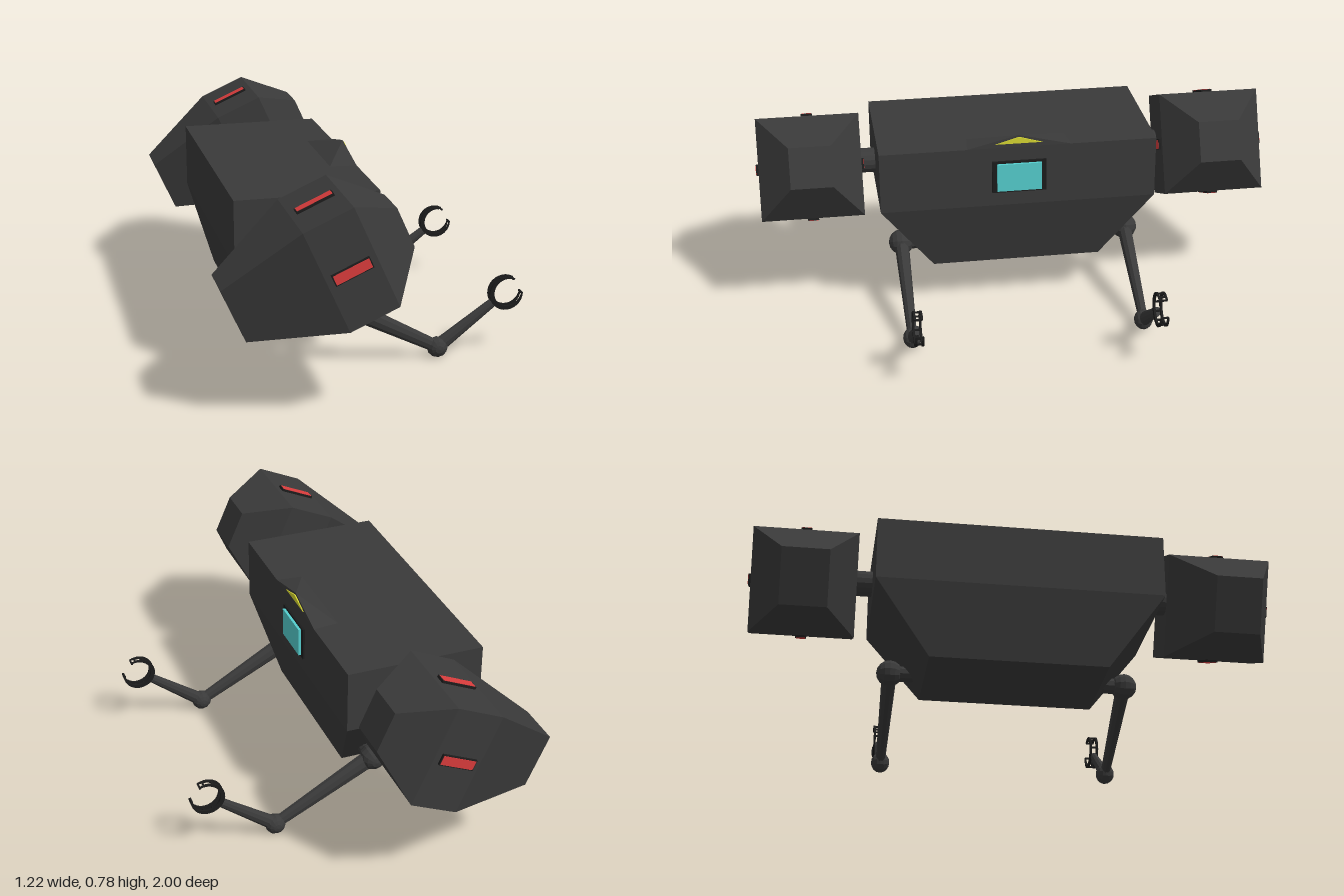
import * as THREE from 'three';

const mat = (color, side = THREE.FrontSide) =>
  new THREE.MeshStandardMaterial({ color, flatShading: true, side });
const hull = mat(0x3a3a3a), dark = mat(0x1c1c1c), red = mat(0xd83c3c);
const cyan = mat(0x55cfcf), yellow = mat(0xd8d832);

function add(parent, name, geometry, material, x = 0, y = 0, z = 0) {
  const mesh = new THREE.Mesh(geometry, material);
  mesh.name = name;
  mesh.position.set(x, y, z);
  parent.add(mesh);
  return mesh;
}

function faces(list) {
  const g = new THREE.BufferGeometry();
  g.setAttribute('position', new THREE.Float32BufferAttribute(list.flat(2), 3));
  g.computeVertexNormals();
  return g;
}

// Rectangular sections stacked along y: [y, centreX, halfX, halfZ]
function loft(sections) {
  const rings = sections.map(([y, cx, hx, hz]) =>
    [[-1, -1], [-1, 1], [1, 1], [1, -1]].map(([a, b]) => [cx + a * hx, y, b * hz]));
  const tris = [];
  const quad = (a, b, c, d) => tris.push([a, b, c], [a, c, d]);
  for (let s = 0; s < rings.length - 1; s++)
    for (let i = 0; i < 4; i++) {
      const j = (i + 1) % 4;
      quad(rings[s][i], rings[s][j], rings[s + 1][j], rings[s + 1][i]);
    }
  quad(...[...rings[0]].reverse());
  quad(...rings[rings.length - 1]);
  return faces(tris);
}

// Tapered limb between two points in the arm's plane
function limb(parent, name, a, b, ra, rb) {
  const dx = b[0] - a[0], dy = b[1] - a[1], len = Math.hypot(dx, dy);
  const g = new THREE.CylinderGeometry(rb, ra, len, 10);
  g.scale(1, 1, 0.75);
  const m = add(parent, name, g, hull, (a[0] + b[0]) / 2, (a[1] + b[1]) / 2);
  m.rotation.z = Math.atan2(dy, dx) - Math.PI / 2;
}

// Crescent plate, thick at the wrist and thin at the tips
function crescent(depth) {
  const n = 24, from = Math.PI / 3, to = Math.PI * 2, outer = [], inner = [];
  for (let i = 0; i <= n; i++) {
    const t = i / n, a = from + (to - from) * t;
    const r = 0.065 - 0.003 - 0.015 * Math.sin(Math.PI * t);
    outer.push(new THREE.Vector2(0.065 * Math.cos(a), 0.065 * Math.sin(a)));
    inner.unshift(new THREE.Vector2(r * Math.cos(a), r * Math.sin(a)));
  }
  const g = new THREE.ExtrudeGeometry(new THREE.Shape([...outer, ...inner]), { depth, bevelEnabled: false });
  return g.translate(0, 0, -depth / 2);
}

function nacelle(side) {
  const g = new THREE.Group();
  g.name = 'enginePod';
  g.position.set(-0.189, 0.571, side * 0.79);
  g.rotation.z = THREE.MathUtils.degToRad(24);
  const shell = loft([
    [-0.416, 0, 0.103, 0.086], [-0.094, 0, 0.197, 0.197],
    [0.094, 0, 0.197, 0.197], [0.237, 0, 0.078, 0.08]]).rotateZ(-Math.PI / 2);
  add(g, 'podShell', shell, hull);
  // Light slot on each of the four long sides
  for (let k = 0; k < 4; k++) {
    const slot = new THREE.Group();
    slot.name = 'lightSlot';
    slot.rotation.x = k * Math.PI / 2;
    add(slot, 'slotFrame', new THREE.BoxGeometry(0.142, 0.042, 0.014), dark, 0, 0, 0.199);
    add(slot, 'slotLight', new THREE.BoxGeometry(0.134, 0.035, 0.014), red, 0, 0, 0.2005);
    g.add(slot);
  }
  return g;
}

function arm(side) {
  const g = new THREE.Group();
  g.name = 'arm';
  g.position.z = side * 0.45;
  const shoulder = [-0.11, 0.255], elbow = [0.28, 0.045], wrist = [0.492, 0.202];
  const axle = new THREE.CylinderGeometry(0.03, 0.03, 0.1, 10).rotateX(Math.PI / 2);
  add(g, 'shoulderAxle', axle, hull, ...shoulder, -side * 0.05);
  const ball = (r) => new THREE.SphereGeometry(r, 12, 8).rotateX(Math.PI / 2);
  add(g, 'shoulderJoint', ball(0.05), hull, ...shoulder);
  limb(g, 'upperArm', shoulder, elbow, 0.038, 0.024);
  add(g, 'elbowJoint', ball(0.04).scale(1, 1, 0.9), hull, ...elbow);
  limb(g, 'forearm', elbow, wrist, 0.028, 0.018);
  // Claw: two crescent plates joined by small bars
  const claw = new THREE.Group();
  claw.name = 'claw';
  claw.position.set(0.543, 0.24, 0);
  for (const z of [-0.013, 0.013]) add(claw, 'clawPlate', crescent(0.008), dark, 0, 0, z);
  for (const deg of [62, 78, 110, 180, 215, 250, 282, 358]) {
    const a = THREE.MathUtils.degToRad(deg);
    add(claw, 'clawBar', new THREE.BoxGeometry(0.006, 0.006, 0.03), dark,
      0.06 * Math.cos(a), 0.06 * Math.sin(a), 0);
  }
  g.add(claw);
  return g;
}

export function createModel() {
  const model = new THREE.Group();
  model.name = 'craft';

  // Hull: box above, tapered keel below
  add(model, 'hull', loft([
    [0.185, -0.233, 0.198, 0.33], [0.458, -0.235, 0.265, 0.535],
    [0.7, -0.235, 0.265, 0.535]]), hull);

  // Roof wedge with its triangular light facing forward
  const L = [0.03, 0.7, 0.2], R = [0.03, 0.7, -0.2], top = [0.026, 0.747, 0];
  const bl = [-0.07, 0.7, 0.19], br = [-0.07, 0.7, -0.19];
  add(model, 'roofWedge', faces([
    [L, R, top], [bl, L, top], [R, br, top], [br, bl, top], [L, bl, br], [L, br, R]]), hull);
  const tri = new THREE.Shape([
    new THREE.Vector2(-0.09, 0), new THREE.Vector2(0.09, 0), new THREE.Vector2(0, 0.025)]);
  const light = new THREE.ExtrudeGeometry(tri, { depth: 0.006, bevelEnabled: false });
  add(model, 'roofLight', light.rotateY(Math.PI / 2), yellow, 0.026, 0.715, 0);

  // Front window
  add(model, 'windowFrame', new THREE.BoxGeometry(0.03, 0.13, 0.21), dark, 0.023, 0.58, 0);
  add(model, 'windowPane', new THREE.BoxGeometry(0.03, 0.112, 0.172), cyan, 0.033, 0.58, 0);

  // Mirrored pods, pylons and arms
  for (const side of [1, -1]) {
    const pylon = new THREE.CylinderGeometry(0.048, 0.048, 0.12, 16).rotateX(Math.PI / 2);
    add(model, 'pylon', pylon, hull, -0.237, 0.562, side * 0.565);
    model.add(nacelle(side), arm(side));
  }
  return model;
}
